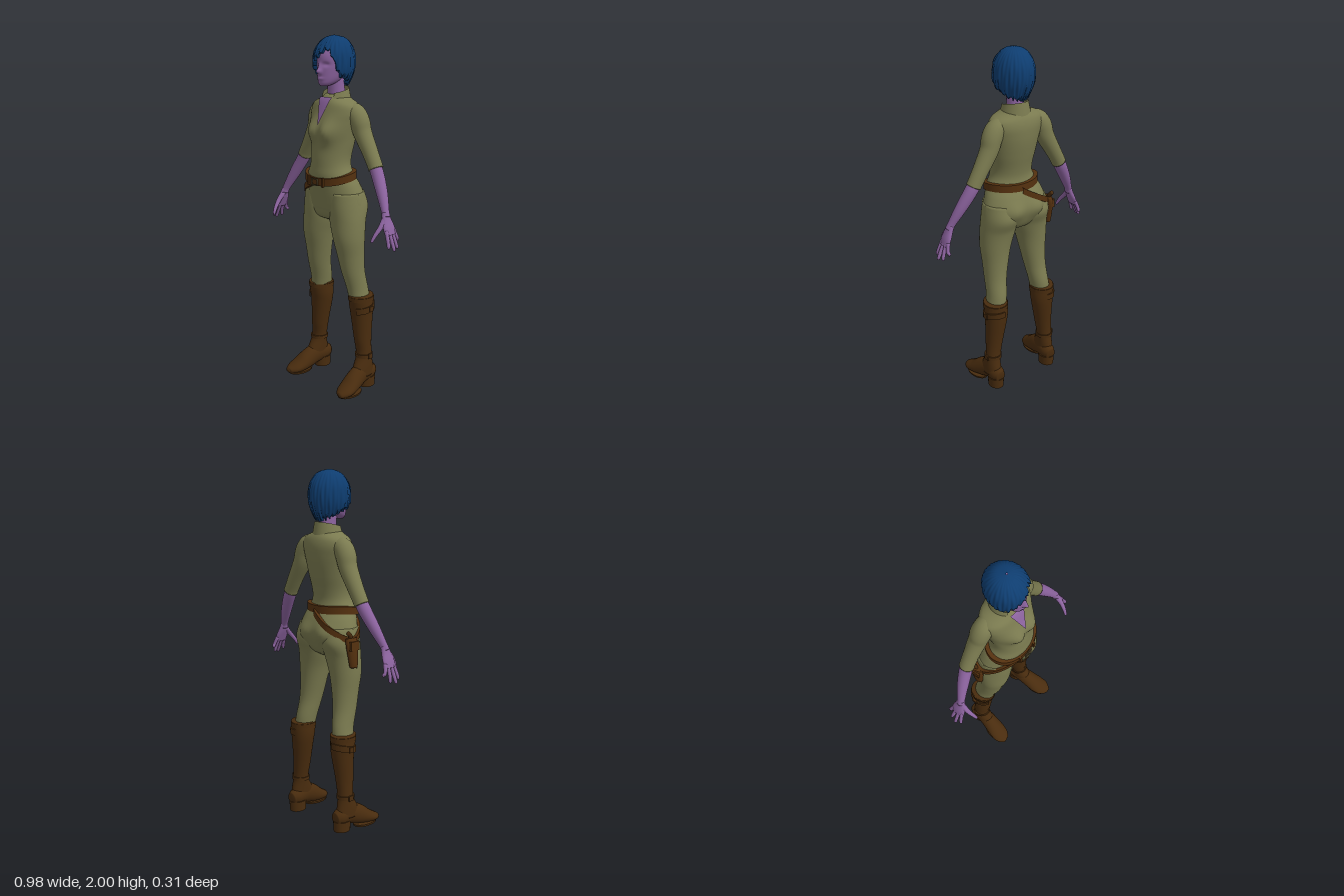
import * as THREE from 'three';
import { mergeVertices, toCreasedNormals } from 'three/addons/utils/BufferGeometryUtils.js';

const V = (x, y, z) => new THREE.Vector3(x, y, z);
const TAU = Math.PI * 2, DEG = Math.PI / 180;

// Smooth interpolation of table rows; column 0 is the key.
function sample(rows, k) {
  const n = rows.length, dir = Math.sign(rows[1][0] - rows[0][0]);
  let i = 0;
  while (i < n - 2 && (k - rows[i + 1][0]) * dir > 0) i++;
  const a = rows[i], b = rows[i + 1], p = rows[Math.max(i - 1, 0)], q = rows[Math.min(i + 2, n - 1)];
  const h = b[0] - a[0], f = Math.min(1, Math.max(0, (k - a[0]) / h)), f2 = f * f, f3 = f2 * f;
  return a.map((_, c) => {
    const m0 = (b[c] - p[c]) / (b[0] - p[0]) * h, m1 = (q[c] - a[c]) / (q[0] - a[0]) * h;
    return (2 * f3 - 3 * f2 + 1) * a[c] + (f3 - 2 * f2 + f) * m0 + (3 * f2 - 2 * f3) * b[c] + (f3 - f2) * m1;
  });
}

// Surface from fn(u, v), u and v in 0..1.
function grid(nu, nv, fn) {
  const pos = [], idx = [], w = nu + 1;
  for (let j = 0; j <= nv; j++) for (let i = 0; i <= nu; i++) pos.push(...fn(i / nu, j / nv, j).toArray());
  for (let j = 0; j < nv; j++) for (let i = 0; i < nu; i++) {
    const a = j * w + i, c = a + w;
    idx.push(a, c, a + 1, a + 1, c, c + 1);
  }
  let g = new THREE.BufferGeometry();
  g.setAttribute('position', new THREE.Float32BufferAttribute(pos, 3));
  g.setIndex(idx);
  g = mergeVertices(g, 1e-5);
  g.computeVertexNormals();
  return g;
}

// Upright body surface from rows [y, halfWidth, zFront, zBack, xCentre].
const surface = (rows, bump = () => 0) => (t, y, off = 0) => {
  const [, rx, zf, zb, cx = 0] = sample(rows, y);
  const x = Math.sin(t) * (rx + off), c = Math.cos(t);
  return V(cx + x, y, (zf + zb) / 2 + c * ((zf - zb) / 2 + off) + bump(x, y, c));
};

// Closed skin over an upright surface.
function loft(surf, y0, y1, nu = 40, nv = 48) {
  return grid(nu, nv + 2, (u, v, j) => {
    const y = y0 + (y1 - y0) * Math.min(1, Math.max(0, (j - 1) / nv));
    if (j > 0 && j < nv + 2) return surf(u * TAU, y);
    return surf(0, y).add(surf(Math.PI, y)).multiplyScalar(0.5);
  });
}

// Tapered limb through points [x, y, z, radiusAlongRef, radiusAcross].
function limb(pts, nu = 16, nv = 20, ref = V(0, 0, 1)) {
  const rows = pts.map((p, i) => [i, ...p]), end = pts.length - 1;
  const at = k => { const r = sample(rows, k); return V(r[1], r[2], r[3]); };
  return grid(nu, nv + 2, (u, v, j) => {
    const k = end * Math.min(1, Math.max(0, (j - 1) / nv)), r = sample(rows, k), p = at(k);
    if (j === 0 || j === nv + 2) return p;
    const T = at(Math.min(end, k + 0.05)).sub(at(Math.max(0, k - 0.05))).normalize();
    const A = ref.clone().addScaledVector(T, -ref.dot(T)).normalize(), B = A.clone().cross(T);
    return p.addScaledVector(A, r[4] * Math.cos(u * TAU)).addScaledVector(B, (r[5] ?? r[4]) * Math.sin(u * TAU));
  });
}

// Leather strap lying on a surface, with a rectangular section.
function band(surf, yFn, half, off, t0 = 0, t1 = TAU) {
  const sec = [[-0.01, 1], [off, 1], [off, -1], [-0.01, -1], [-0.01, 1]];
  return toCreasedNormals(grid(64, 4, (u, v, j) => {
    const t = t0 + (t1 - t0) * u, p = surf(t, yFn(t), sec[j][0]);
    p.y += sec[j][1] * half;
    return p;
  }), 0.7);
}

function mirrored(g) {
  const m = g.clone().scale(-1, 1, 1);
  if (!m.index) m.setIndex([...Array(m.attributes.position.count).keys()]);
  const a = m.index.array;
  for (let i = 0; i < a.length; i += 3) [a[i], a[i + 1]] = [a[i + 1], a[i]];
  return m;
}

export function createModel() {
  const model = new THREE.Group();
  const mat = (name, color, side = THREE.FrontSide) => {
    const m = new THREE.MeshStandardMaterial({ color, side });
    m.name = name;
    return m;
  };
  const cloth = mat('olive cloth', 0x7b7b50, THREE.DoubleSide), skin = mat('purple skin', 0x8d64a0);
  const boot = mat('dark brown leather', 0x492c0e), belt = mat('brown leather', 0x55310f);
  const hair = mat('blue hair', 0x0e3d70, THREE.DoubleSide), metal = mat('dull brass', 0x6b5c3c);
  const add = (name, geo, m) => {
    const o = new THREE.Mesh(geo, m);
    o.name = name;
    model.add(o);
  };
  const pair = (name, geo, m) => { add('left' + name, geo, m); add('right' + name, mirrored(geo), m); };
  const bell = (a, b) => Math.exp(-a * a - b * b);

  // Torso with bust and seat
  const torso = surface([
    [1.69, .055, .03, -.09], [1.665, .088, .05, -.105], [1.64, .145, .062, -.12], [1.6, .162, .075, -.13],
    [1.55, .155, .09, -.13], [1.5, .145, .1, -.125], [1.43, .132, .1, -.112], [1.35, .12, .11, -.095],
    [1.3, .124, .114, -.09], [1.25, .147, .118, -.1], [1.2, .172, .11, -.125], [1.13, .195, .1, -.142],
    [1.06, .195, .088, -.128], [1.01, .14, .07, -.1], [.985, .05, .02, -.06]],
  (x, y, c) => .036 * Math.max(0, c) * bell((Math.abs(x) - .06) / .05, (y - 1.49) / .06)
    - .025 * Math.max(0, -c) * bell((Math.abs(x) - .085) / .06, (y - 1.12) / .06));
  add('torso', loft(torso, 1.69, .985, 48, 70), cloth);

  // Open neckline and collar
  add('neckline', grid(12, 20, (u, v) => {
    const y = 1.675 - .145 * v, x = (u - .5) * (.002 + .09 * (1 - v));
    const p = torso(Math.asin(Math.max(-1, Math.min(1, x / .15))), y, .005);
    return V(x, y, p.z + .003);
  }), skin);
  add('collar', grid(36, 5, (u, v) => {
    const t = (38 + 284 * u) * DEG, top = 1.71 - .016 * Math.cos(t), y = top + (1.645 - top) * v;
    return V(Math.sin(t) * (.068 + .016 * v), y, -.028 + Math.cos(t) * (.073 + .012 * v));
  }), cloth);

  // Trouser legs
  const leg = surface([
    [1.16, .088, .085, -.12, .1], [1.08, .1, .088, -.142, .103], [1, .103, .085, -.115, .108], [.9, .09, .08, -.1, .123],
    [.8, .075, .06, -.095, .131], [.7, .063, .04, -.1, .14], [.6, .056, .012, -.12, .15], [.53, .055, 0, -.125, .16]]);
  pair('Trouser', loft(leg, 1.16, .53), cloth);

  // Boots: shaft, foot, heel, straps and buckles
  const shaft = surface([
    [.565, .067, .008, -.14, .166], [.5, .069, 0, -.14, .166], [.45, .065, -.008, -.137, .167], [.3, .05, -.018, -.121, .18],
    [.2, .044, -.025, -.117, .19], [.13, .045, .008, -.13, .194], [.08, .045, .03, -.14, .195]]);
  pair('BootShaft', loft(shaft, .565, .08), boot);
  const foot = limb([[.188, .08, -.148, .028, .035], [.19, .085, -.11, .044, .05], [.194, .088, -.04, .046, .06],
    [.202, .066, .02, .051, .056], [.21, .044, .07, .055, .042], [.218, .03, .115, .05, .028],
    [.222, .022, .147, .028, .018], [.222, .02, .157, .01, .008]], 24, 36, V(1, 0, 0));
  const fp = foot.attributes.position;
  for (let i = 0; i < fp.count; i++) fp.setY(i, Math.max(0.004, fp.getY(i)));
  foot.computeVertexNormals();
  pair('BootFoot', foot, boot);
  const heel = new THREE.CylinderGeometry(.045, .043, .06, 20);
  heel.scale(1, 1, 1.2).translate(.19, .03, -.097);
  pair('BootHeel', heel, boot);
  const sole = new THREE.CylinderGeometry(.052, .05, .012, 20);
  sole.scale(1, 1, 1.6).translate(.212, .006, .065);
  pair('BootSole', sole, boot);
  pair('BootCuff', band(shaft, () => .545, .012, .003), boot);
  pair('BootStrap', band(shaft, t => .49 - .015 * Math.cos(t), .018, .007, 20 * DEG, 190 * DEG), boot);
  pair('AnkleStrap', band(shaft, () => .2, .01, .006), boot);
  for (const [y, x] of [[.49, .241], [.2, .239]]) {
    pair('BootBuckle', new THREE.BoxGeometry(.008, .03, .03).translate(x, y, -.075), boot);
  }

  // Sleeves, forearms and hands
  pair('Sleeve', limb([[.09, 1.6, -.04, .05], [.135, 1.59, -.042, .055], [.163, 1.55, -.046, .056], [.184, 1.49, -.05, .051],
    [.235, 1.4, -.052, .044], [.272, 1.335, -.051, .041], [.286, 1.308, -.05, .041]], 24, 36), cloth);
  pair('Forearm', limb([[.262, 1.35, -.05, .034], [.3, 1.285, -.046, .036], [.355, 1.19, -.026, .031],
    [.4, 1.105, -.004, .022], [.412, 1.075, .002, .023, .019]], 20, 24), skin);
  pair('Palm', limb([[.405, 1.1, -.002, .021, .019], [.418, 1.06, .002, .032, .018],
    [.435, 1.02, .002, .041, .016], [.448, .985, .002, .039, .012]]), skin);
  [[.032, .472, .92, .04], [.01, .484, .905, .01], [-.012, .474, .912, -.022], [-.032, .452, .945, -.05]].forEach(([z, x, y, z2], i) =>
    pair('Finger' + (i + 1), limb([[.44, 1.01, z * .9, .011], [(x + .453) / 2, (y + .99) / 2, (z + z2) / 2, .0105],
      [x - .002, y + .01, z2, .009], [x, y, z2, .003]], 10, 12), skin));
  pair('Thumb', limb([[.413, 1.07, .012, .016], [.416, 1.03, .045, .014], [.408, .99, .078, .011], [.401, .958, .096, .008],
    [.4, .953, .099, .003]], 10, 14), skin);

  // Neck and head with nose, lips and eye hollows
  add('neck', limb([[0, 1.64, -.035, .058, .06], [0, 1.69, -.03, .05, .047], [0, 1.78, -.02, .048, .045]]), skin);
  const head = surface([
    [1.735, .02, .08, .03], [1.748, .04, .089, -.01], [1.77, .056, .091, -.05], [1.8, .067, .092, -.08], [1.84, .076, .091, -.1],
    [1.9, .079, .088, -.11], [1.95, .065, .06, -.09], [1.98, .03, .02, -.05]],
  (x, y, c) => c < 0 ? 0 : .024 * bell(x / .012, (y - 1.813) / .014) + .012 * bell(x / .01, (y - 1.837) / .02)
    + .007 * bell(x / .02, (y - 1.775) / .008) - .009 * bell((Math.abs(x) - .033) / .017, (y - 1.85) / .012));
  add('head', loft(head, 1.98, 1.735, 72, 64), skin);
  pair('Ear', new THREE.SphereGeometry(.024, 12, 8).scale(.4, 1.2, .8).translate(.078, 1.83, -.015), skin);

  // Short swept hair: side fringe, ridged strands and ragged hem
  const cap = surface([
    [2, .004, -.008, -.016], [1.99, .045, .03, -.065], [1.965, .077, .066, -.1], [1.92, .1, .098, -.128], [1.87, .107, .107, -.137],
    [1.82, .104, .107, -.132], [1.78, .092, .1, -.118], [1.74, .072, .08, -.1], [1.71, .062, .06, -.09]]);
  const hem = [[-180, 1.735], [-120, 1.755], [-90, 1.785], [-65, 1.8], [-45, 1.835], [-20, 1.878], [5, 1.905], [25, 1.93],
    [42, 1.9], [58, 1.83], [72, 1.795], [95, 1.78], [125, 1.752], [180, 1.735]];
  add('hair', grid(180, 27, (u, v, j) => {
    const d = u * 360 - 180, s = Math.min(1, j / 26), t = d * DEG;
    const rag = .008 * Math.sin(t * 23) + .005 * Math.sin(t * 41 + 1);
    const y = 2 + (sample(hem, d)[1] + rag - 2) * Math.pow(s, 1.7);
    const ridge = s * (.0025 * Math.sin(t * 32 + 5 * s) + .0018 * Math.sin(t * 19 - 7 * s));
    return cap(t, y, j > 26 ? -.022 : ridge);
  }), hair);

  // Belt with buckle
  add('belt', band(torso, t => 1.236 - .016 * Math.cos(t) + .014 * Math.sin(t) ** 2, .021, .014), belt);
  add('buckleFrame', new THREE.TorusGeometry(.022, .004, 6, 4, TAU).rotateZ(Math.PI / 4).scale(1.4, 1.1, 1).translate(0, 1.22, .135), metal);
  for (const x of [-.055, .055]) add('beltLoop', new THREE.BoxGeometry(.014, .052, .012).translate(x, 1.222, .126), belt);

  // Slanted strap and holster on the right hip
  const drop = [[-185, 1.235], [-150, 1.17], [-115, 1.11], [-90, 1.1], [-60, 1.14], [-35, 1.18], [-12, 1.21]];
  add('holsterStrap', band(torso, t => sample(drop, t / DEG)[1], .018, .014, -185 * DEG, -12 * DEG), belt);
  add('holster', limb([[-.208, 1.115, -.05, .036, .022], [-.214, 1.08, -.05, .04, .024], [-.217, 1.02, -.045, .034, .022],
    [-.218, .96, -.04, .027, .018], [-.218, .95, -.04, .02, .012]]), belt);
  add('holsterFlap', new THREE.BoxGeometry(.014, .05, .06).translate(-.234, 1.075, -.05), belt);
  add('holsterGrip', limb([[-.212, 1.1, -.05, .014, .01], [-.216, 1.13, -.065, .013, .01], [-.218, 1.15, -.085, .012, .009]], 10, 8), boot);
  return model;
}
